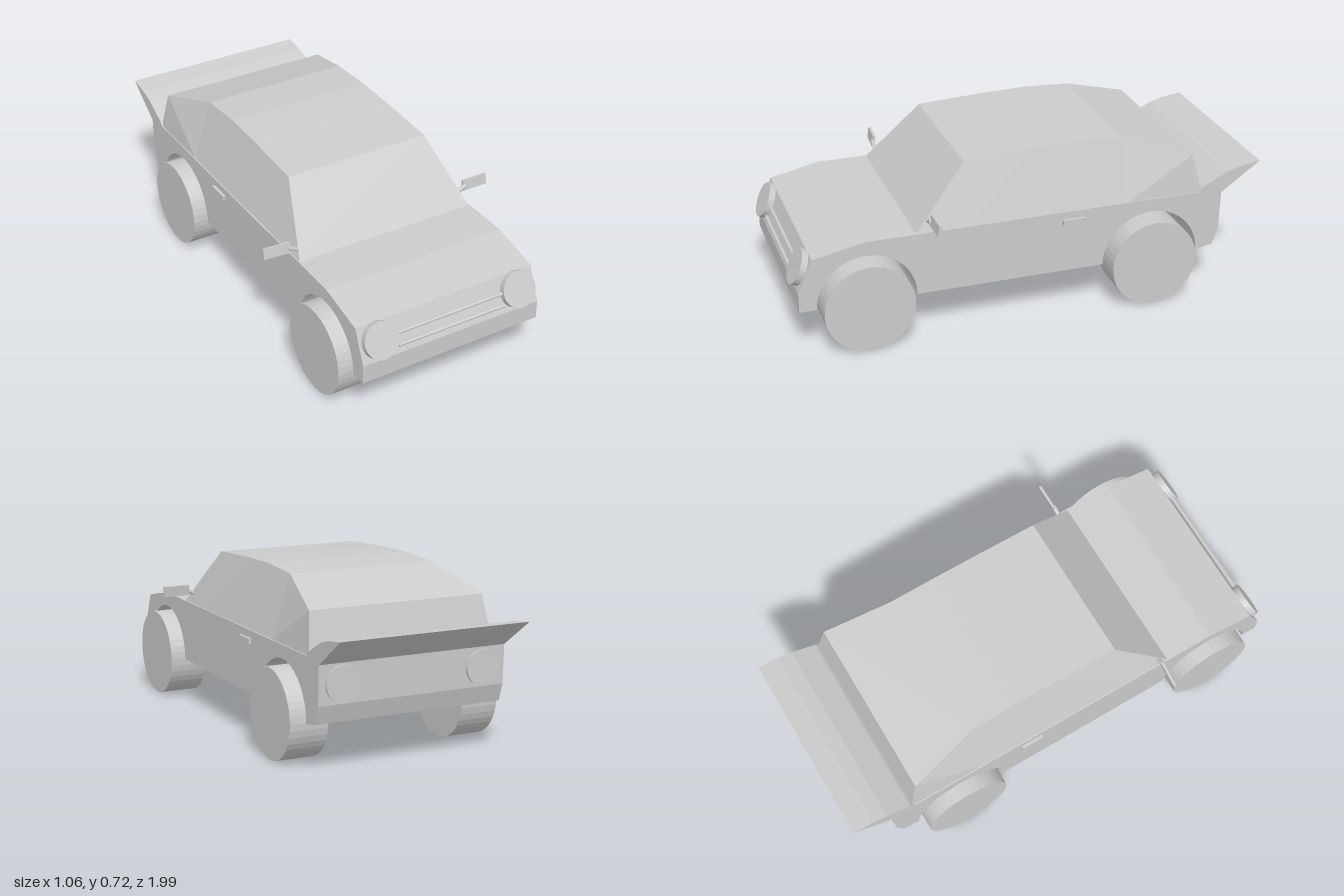
import * as THREE from 'three';

const CX = 0.005; // middle of the body across x
const HALF = 0.405; // half the body width
const mat = new THREE.MeshStandardMaterial({ color: 0xcccccc, flatShading: true });

function addMesh(parent, name, geometry, x = 0, y = 0, z = 0) {
  const mesh = new THREE.Mesh(geometry, mat);
  mesh.name = name;
  mesh.position.set(x, y, z);
  parent.add(mesh);
  return mesh;
}

// Extrude a side profile, drawn as (z, y), across the width of the car
function acrossCar(shape) {
  const g = new THREE.ExtrudeGeometry(shape, { depth: 2 * HALF, bevelEnabled: false, curveSegments: 20 });
  return g.translate(0, 0, -HALF).rotateY(-Math.PI / 2);
}

// Lower body with both wheel arches cut through
function bodyGeometry() {
  const s = new THREE.Shape();
  s.moveTo(0.92, 0.41);
  s.lineTo(0.98, 0.27);
  s.lineTo(0.98, 0.19);
  s.lineTo(0.91, 0.19);
  s.absarc(0.705, 0.19, 0.205, 0, Math.PI, false);
  s.lineTo(-0.295, 0.19);
  s.absarc(-0.505, 0.19, 0.21, 0, Math.PI, false);
  s.lineTo(-0.79, 0.205);
  s.lineTo(-0.815, 0.28);
  s.lineTo(-0.82, 0.44);
  s.lineTo(-0.73, 0.455);
  s.lineTo(0.71, 0.455);
  s.closePath();
  return acrossCar(s);
}

// Cabin: stations [z, y, half width] from windscreen base over the roof to the tail
function cabinGeometry() {
  const base = 0.453;
  const stations = [
    [0.5, base, 0.4], [0.275, 0.7, 0.32], [0, 0.715, 0.318], [-0.2, 0.72, 0.317],
    [-0.4, 0.71, 0.32], [-0.69, 0.62, 0.38], [-0.73, base, 0.4],
  ];
  const pos = [];
  const tri = (...pts) => pts.forEach((p) => pos.push(...p));
  const top = ([z, y, w], side) => [side * w, y, z];
  const sill = ([z], side) => [side * 0.4, base, z];
  for (let i = 0; i < stations.length - 1; i++) {
    const a = stations[i], b = stations[i + 1];
    // windscreen, roof and rear window
    tri(top(a, 1), top(b, 1), top(a, -1));
    tri(top(b, 1), top(b, -1), top(a, -1));
    // side windows; end stations already lie on the sill
    if (i > 0) {
      tri(top(a, 1), sill(a, 1), top(b, 1));
      tri(top(b, -1), sill(a, -1), top(a, -1));
    }
    if (i < stations.length - 2 || b[1] === base) {
      tri(sill(a, 1), sill(b, 1), top(b, 1));
      tri(top(b, -1), sill(b, -1), sill(a, -1));
    }
  }
  const g = new THREE.BufferGeometry();
  g.setAttribute('position', new THREE.Float32BufferAttribute(pos, 3));
  g.computeVertexNormals();
  return g;
}

// Wedge-shaped tail spoiler
function spoilerGeometry() {
  const pts = [[-0.71, 0.45], [-0.735, 0.475], [-0.84, 0.53], [-0.9, 0.547], [-0.99, 0.56], [-0.82, 0.44]];
  return acrossCar(new THREE.Shape(pts.map(([z, y]) => new THREE.Vector2(z, y))));
}

export function createModel() {
  const car = new THREE.Group();
  car.name = 'car';

  addMesh(car, 'body', bodyGeometry(), CX);
  addMesh(car, 'cabin', cabinGeometry(), CX);
  addMesh(car, 'spoiler', spoilerGeometry(), CX);

  // Wheels
  const wheel = new THREE.CylinderGeometry(0.185, 0.185, 0.163, 40).rotateZ(Math.PI / 2);
  for (const [end, z] of [['front', 0.707], ['rear', -0.505]]) {
    addMesh(car, end + 'LeftWheel', wheel, 0.385, 0.187, z);
    addMesh(car, end + 'RightWheel', wheel, -0.373, 0.189, z);
  }

  // Nose: headlights and grille bars follow the slope of the front
  const nose = new THREE.Group();
  nose.name = 'nose';
  nose.position.set(CX, 0.345, 0.952);
  nose.rotation.x = -0.42;
  car.add(nose);
  const lamp = new THREE.CylinderGeometry(0.075, 0.075, 0.03, 32).rotateX(Math.PI / 2);
  addMesh(nose, 'leftHeadlight', lamp, 0.318, 0, 0.008);
  addMesh(nose, 'rightHeadlight', lamp, -0.318, 0, 0.008);
  const bar = new THREE.CylinderGeometry(0.008, 0.008, 0.49, 12).rotateZ(Math.PI / 2);
  for (const y of [0.003, -0.045]) addMesh(nose, 'grilleBar', bar, 0, y, 0.005);

  // Mirrored small parts
  const tailLamp = new THREE.CylinderGeometry(0.072, 0.072, 0.02, 32).rotateX(Math.PI / 2);
  const stalk = new THREE.CylinderGeometry(0.009, 0.009, 0.06, 8);
  for (const [side, s] of [['left', 1], ['right', -1]]) {
    addMesh(car, side + 'TailLight', tailLamp, CX + s * 0.305, 0.36, -0.818);
    addMesh(car, side + 'DoorHandle', new THREE.BoxGeometry(0.024, 0.022, 0.1), CX + s * 0.405, 0.412, -0.165);

    const mirror = new THREE.Group();
    mirror.name = side + 'Mirror';
    mirror.position.set(s * 0.472, s > 0 ? 0.513 : 0.508, s > 0 ? 0.437 : 0.452);
    car.add(mirror);
    const plate = addMesh(mirror, 'mirrorPlate', new THREE.BoxGeometry(0.114, 0.046, 0.011));
    plate.rotation.set(-0.15, s > 0 ? 0 : -0.08, 0);
    const arm = addMesh(mirror, 'mirrorArm', stalk, s * -0.072, -0.012, 0.006);
    arm.rotation.z = s * -1.1;
  }
  return car;
}
